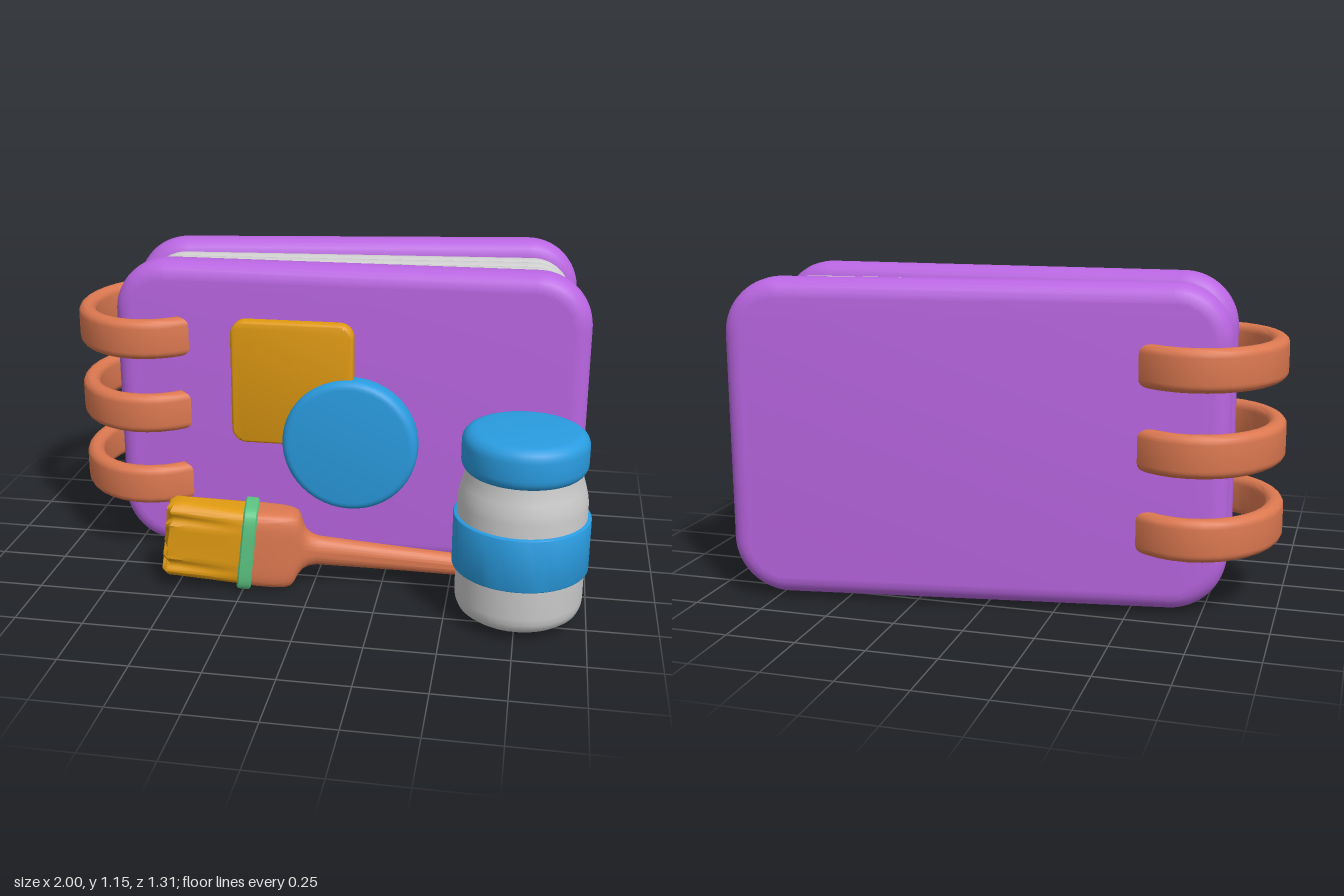
import * as THREE from 'three';
import { toCreasedNormals } from 'three/addons/utils/BufferGeometryUtils.js';

const mat = (color) => new THREE.MeshStandardMaterial({ color });
const purple = mat(0xba66e2), grey = mat(0xcccccc), orange = mat(0xdb7850);
const yellow = mat(0xe09a12), blue = mat(0x2a9ce0), green = mat(0x5cc482);

function part(name, geometry, material, x = 0, y = 0, z = 0) {
  const mesh = new THREE.Mesh(toCreasedNormals(geometry, 0.65), material);
  mesh.name = name;
  mesh.position.set(x, y, z);
  return mesh;
}

// Extrusion with rounded edges, centred in depth, keeping the outline's size
function softExtrude(shape, thick, bevel) {
  const g = new THREE.ExtrudeGeometry(shape, {
    depth: thick - 2 * bevel, bevelThickness: bevel, bevelSize: bevel,
    bevelOffset: -bevel, bevelSegments: 5, curveSegments: 12,
  });
  return g.translate(0, 0, -thick / 2 + bevel);
}

// Slab with rounded corners and rounded rims
function slab(w, h, thick, r, bevel) {
  const s = new THREE.Shape(), x = w / 2 - r, y = h / 2 - r, q = Math.PI / 2;
  s.absarc(x, y, r, 0, q);
  s.absarc(-x, y, r, q, 2 * q);
  s.absarc(-x, -y, r, 2 * q, 3 * q);
  s.absarc(x, -y, r, 3 * q, 4 * q);
  s.closePath();
  return softExtrude(s, thick, bevel);
}

// Solid of revolution standing from y0 to y1 with rounded rims
function drum(radius, y0, y1, bevel) {
  const pts = [new THREE.Vector2(0, y0)];
  for (let k = 0; k <= 10; k++) {
    const a = -Math.PI / 2 + (k % 11) * Math.PI / 10;
    const y = k <= 5 ? y0 + bevel : y1 - bevel;
    pts.push(new THREE.Vector2(radius - bevel + bevel * Math.cos(a), y + bevel * Math.sin(a)));
    if (k === 5) pts.push(new THREE.Vector2(radius, y1 - bevel));
  }
  pts.push(new THREE.Vector2(0, y1));
  return new THREE.LatheGeometry(pts, 48);
}

// Capped loft along x through superellipse sections [x, halfY, halfZ, exponent]
function loft(sections, warp = (p) => p, n = 64) {
  const pos = [], idx = [], last = sections.length - 1;
  const pw = (v, e) => Math.sign(v) * Math.abs(v) ** (2 / e);
  sections.forEach(([x, hy, hz, e], i) => {
    for (let j = 0; j < n; j++) {
      const a = (j / n) * Math.PI * 2;
      pos.push(...warp([x, hy * pw(Math.cos(a), e), hz * pw(Math.sin(a), e)]));
      const k = (j + 1) % n, b = i * n;
      if (i < last) idx.push(b + j, b + k, b + n + j, b + k, b + n + k, b + n + j);
    }
  });
  const c = (last + 1) * n;
  pos.push(...warp([sections[0][0], 0, 0]), ...warp([sections[last][0], 0, 0]));
  for (let j = 0; j < n; j++) {
    const k = (j + 1) % n;
    idx.push(c, k, j, c + 1, last * n + j, last * n + k);
  }
  const g = new THREE.BufferGeometry();
  g.setAttribute('position', new THREE.Float32BufferAttribute(pos, 3));
  g.setIndex(idx);
  return g;
}

// Notebook: two covers, three page blocks fanned between them, binder rings
function createNotebook() {
  const book = new THREE.Group();
  book.name = 'notebook';
  const front = part('frontCover', slab(1.77, 1.14, 0.16, 0.2, 0.065), purple, 0.083, 0.6, 0.01);
  front.rotation.y = 0.012;
  const back = part('backCover', slab(1.76, 1.14, 0.16, 0.2, 0.065), purple, 0.043, 0.6, -0.455);
  back.rotation.y = 0.147;
  book.add(front, back);

  for (let i = 0; i < 3; i++) {
    const page = part('page' + (i + 1), slab(1.65, 1.065, 0.07, 0.15, 0.034), grey,
      0.083 - i * 0.008, 0.603, -0.152 - i * 0.072);
    page.rotation.y = 0.08 + i * 0.003;
    book.add(page);
  }

  // Open oval bands whose ends sink into the covers
  const ring = new THREE.Shape();
  const a0 = 0.86, a1 = Math.PI * 2 - 0.86;
  ring.absellipse(0, 0, 0.3, 0.365, a0, a1, false);
  ring.absellipse(0, 0, 0.235, 0.3, a1, a0, true);
  ring.closePath();
  const ringGeo = softExtrude(ring, 0.15, 0.03).rotateX(-Math.PI / 2);
  [0.315, 0.605, 0.895].forEach((y) => book.add(part('binderRing', ringGeo, orange, -0.7, y, -0.155)));

  // Shapes on the cover
  const square = part('coverSquare', slab(0.46, 0.475, 0.08, 0.055, 0.015), yellow, -0.115, 0.733, 0.098);
  square.rotation.y = 0.012;
  const disc = part('coverDisc', drum(0.255, -0.05, 0.05, 0.03), blue, 0.105, 0.51, 0.115);
  disc.rotation.x = Math.PI / 2;
  book.add(square, disc);
  return book;
}

// Paint jar with label band and lid
function createJar() {
  const jar = new THREE.Group();
  jar.name = 'paintJar';
  jar.position.set(0.757, 0, 0.417);
  const outline = [[0, 0.04], [0.165, 0.04], [0.19, 0.045], [0.212, 0.062], [0.222, 0.085], [0.225, 0.11],
    [0.225, 0.46], [0.222, 0.49], [0.213, 0.525], [0.204, 0.555], [0.2, 0.6], [0, 0.6]];
  const body = new THREE.LatheGeometry(outline.map(([x, y]) => new THREE.Vector2(x, y)), 48);
  jar.add(
    part('jarBody', body, grey),
    part('jarBand', drum(0.239, 0.218, 0.412, 0.006), blue),
    part('jarLid', drum(0.218, 0.567, 0.72, 0.045), blue),
  );
  return jar;
}

// Flat paintbrush lying tilted, bristles towards -x
function createBrush() {
  const brush = new THREE.Group();
  brush.name = 'paintbrush';
  brush.position.set(-0.24, 0.18, 0.345);
  brush.rotation.set(0, 0.165, -0.11);

  const handle = loft([
    [0.0, 0.148, 0.085, 5], [0.05, 0.149, 0.085, 5], [0.11, 0.15, 0.079, 5], [0.15, 0.149, 0.072, 4.5],
    [0.172, 0.143, 0.066, 4], [0.184, 0.128, 0.06, 3.5], [0.195, 0.1, 0.054, 3], [0.21, 0.077, 0.048, 2.6],
    [0.23, 0.063, 0.044, 2.3], [0.26, 0.056, 0.041, 2], [0.4, 0.051, 0.039, 2], [0.6, 0.045, 0.037, 2],
    [0.8, 0.041, 0.035, 2], [0.82, 0.036, 0.031, 2], [0.83, 0.024, 0.02, 2],
  ]);
  const ferrule = loft([
    [-0.026, 0.156, 0.088, 5], [-0.02, 0.163, 0.095, 5], [0.02, 0.163, 0.095, 5], [0.026, 0.156, 0.088, 5],
  ]);

  // Bristles spread into wavy tufts towards the tip
  const rows = [];
  for (let i = 0; i <= 9; i++) {
    const t = 1 - i / 9;
    rows.push([-0.285 * t, 0.146 + 0.003 * t, 0.084 - 0.026 * t, 5]);
  }
  rows.unshift([-0.3, 0.136, 0.04, 4]);
  const tufts = ([x, y, z]) => {
    const t = Math.min(1, -x / 0.25), wave = Math.cos(y * 105);
    return [x - 0.007 * wave * t ** 4, y, z * (1 + 0.1 * wave * t)];
  };
  brush.add(
    part('brushHandle', handle, orange),
    part('brushFerrule', ferrule, green),
    part('brushBristles', loft(rows, tufts, 96), yellow),
  );
  return brush;
}

export function createModel() {
  const model = new THREE.Group();
  model.name = 'artSet';
  model.add(createNotebook(), createJar(), createBrush());
  return model;
}
